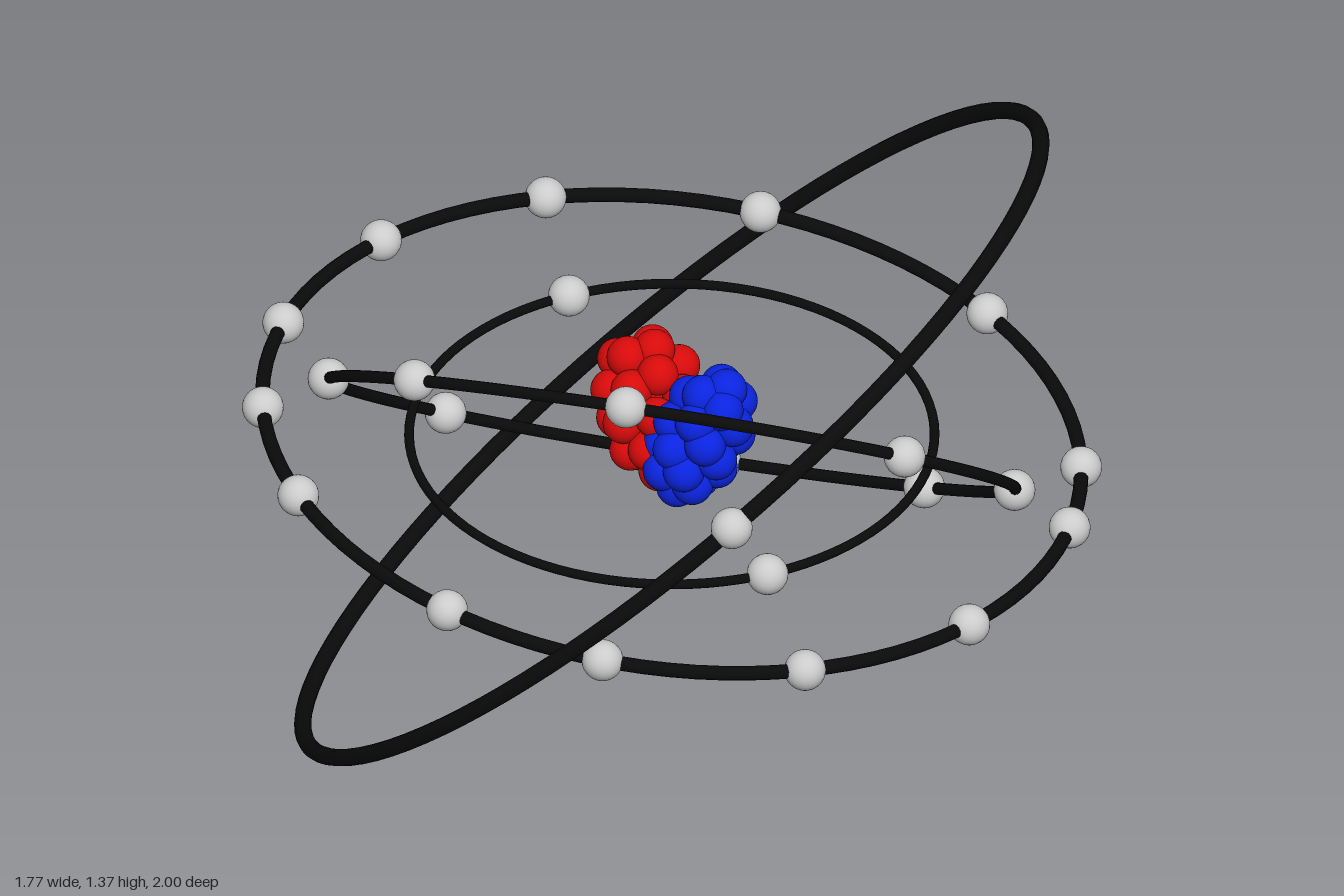
import * as THREE from 'three';

const CENTER_Y = 0.683;
const BALL_R = 0.043;

const material = (color) => new THREE.MeshStandardMaterial({ color });

// An orbit ring in the plane with the given normal, with electrons placed by [x, z] and snapped onto it
function makeOrbit(name, radius, tube, normal, electrons, mats) {
  const group = new THREE.Group();
  group.name = name;
  const n = new THREE.Vector3(...normal).normalize();

  const ring = new THREE.Mesh(new THREE.TorusGeometry(radius, tube, 12, 96), mats.ring);
  ring.name = name + 'Ring';
  ring.quaternion.setFromUnitVectors(new THREE.Vector3(0, 0, 1), n);
  group.add(ring);

  const ball = new THREE.SphereGeometry(BALL_R, 24, 16);
  for (const [x, z] of electrons) {
    const electron = new THREE.Mesh(ball, mats.electron);
    electron.name = 'electron';
    electron.position.set(x, -(n.x * x + n.z * z) / n.y, z).setLength(radius);
    group.add(electron);
  }
  return group;
}

// A leaning ellipsoidal cluster of balls, spread by the golden angle
function makeCluster(name, count, center, size, lean, mat) {
  const group = new THREE.Group();
  group.name = name;
  const ball = new THREE.SphereGeometry(BALL_R, 24, 16);
  for (let i = 0; i < count; i++) {
    const t = 1 - (2 * (i + 0.5)) / count;
    const r = Math.sqrt(1 - t * t);
    const a = i * 2.39996;
    const nucleon = new THREE.Mesh(ball, mat);
    nucleon.name = name + 'Ball';
    nucleon.position.set(
      center[0] + size[0] * r * Math.cos(a) + lean[0] * t,
      center[1] + size[1] * t,
      center[2] + size[2] * r * Math.sin(a) + lean[1] * t
    );
    group.add(nucleon);
  }
  return group;
}

export function createModel() {
  const model = new THREE.Group();
  model.name = 'atom';
  const atom = new THREE.Group();
  atom.name = 'nucleusAndOrbits';
  atom.position.y = CENTER_Y;
  model.add(atom);

  const mats = { ring: material(0x0a0a0a), electron: material(0xcccccc) };

  // Nucleus: red and blue halves
  atom.add(
    makeCluster('proton', 28, [-0.052, 0.018, -0.06], [0.088, 0.12, 0.078], [-0.035, -0.04], material(0xd80a0a)),
    makeCluster('neutron', 28, [0.065, 0.022, 0.02], [0.07, 0.118, 0.07], [0.035, -0.015], material(0x0a24e0))
  );

  // Orbits from the innermost outwards
  atom.add(
    makeOrbit('firstOrbit', 0.54, 0.01, [0, 1, 0], [[-0.33, -0.43], [0.31, 0.43]], mats),
    makeOrbit('secondOrbit', 0.715, 0.0125, [0, 0.555, -0.45], [
      [-0.04, -0.56], [0.42, -0.45], [0.69, -0.15], [0.575, 0.325],
      [0.045, 0.55], [-0.43, 0.44], [-0.695, 0.135], [-0.57, -0.34],
    ], mats),
    makeOrbit('thirdOrbit', 0.847, 0.015, [0.112, 1, -0.028], [
      [-0.03, -0.85], [0.49, -0.68], [0.81, -0.23], [0.84, -0.01], [0.735, 0.41],
      [0.46, 0.7], [0.07, 0.84], [-0.27, 0.8], [-0.66, 0.53], [-0.8, 0.25],
      [-0.84, -0.06], [-0.73, -0.43], [-0.455, -0.72],
    ], mats),
    makeOrbit('outerOrbit', 0.983, 0.018, [-0.674, 0.736, -0.066], [[0.34, 0.83]], mats)
  );
  return model;
}
